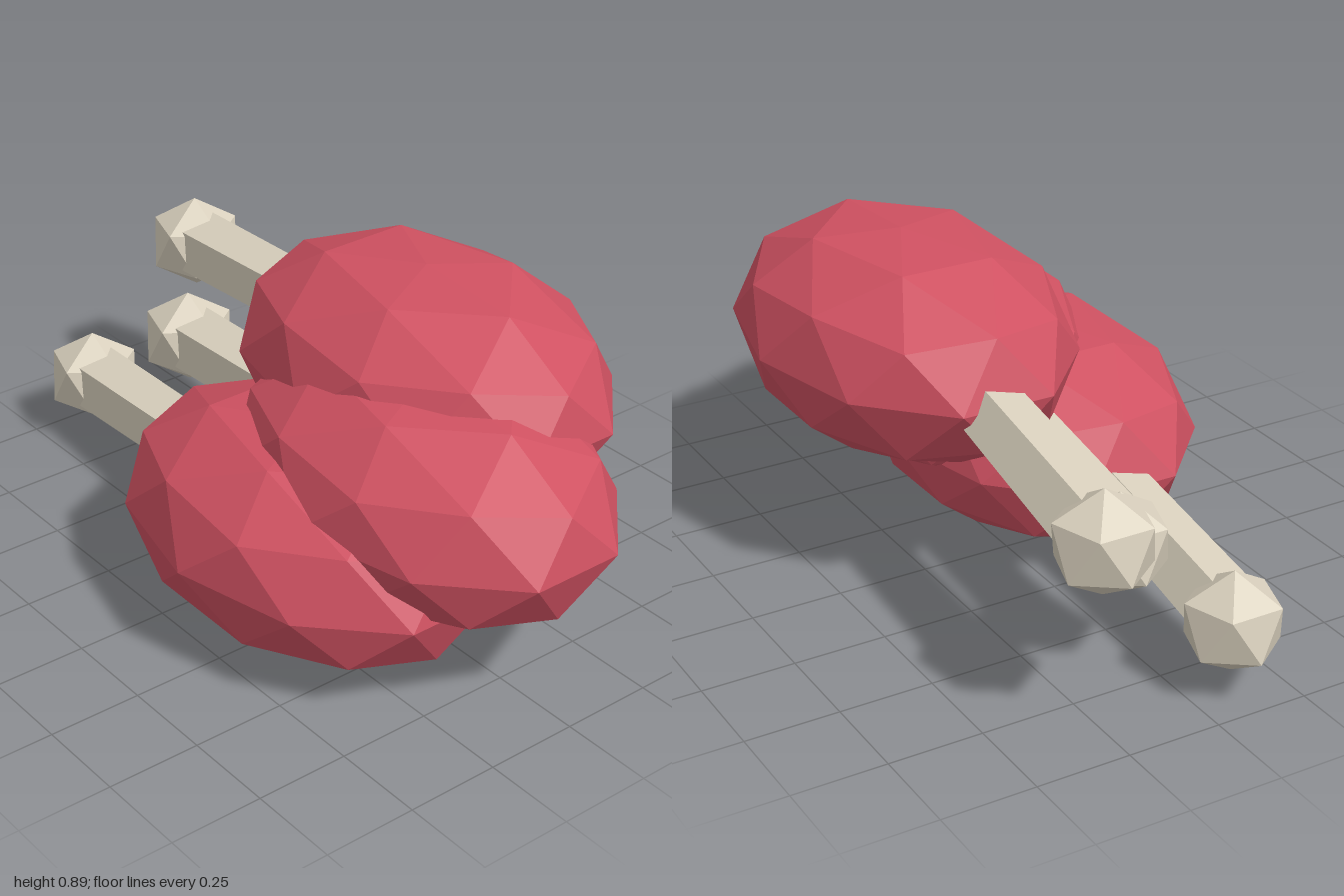
import * as THREE from 'three';

const meatMat = new THREE.MeshStandardMaterial({ color: 0xcf5161, flatShading: true });
meatMat.name = 'red meat';
const boneMat = new THREE.MeshStandardMaterial({ color: 0xdad1be, flatShading: true });
boneMat.name = 'pale bone';

// Icosahedron standing on a corner, with one upper corner towards +x
function poleIcosahedron(detail) {
  const verts = [0, 1, 0];
  const h = 1 / Math.sqrt(5), r = 2 * h;
  for (const [y, start] of [[h, 0], [-h, Math.PI / 5]]) {
    for (let i = 0; i < 5; i++) {
      const a = start + (i * Math.PI * 2) / 5;
      verts.push(r * Math.cos(a), y, r * Math.sin(a));
    }
  }
  verts.push(0, -1, 0);
  const faces = [];
  for (let i = 0; i < 5; i++) {
    const n = (i + 1) % 5;
    faces.push(0, 1 + n, 1 + i, 1 + i, 1 + n, 6 + i);
    faces.push(6 + i, 1 + n, 6 + n, 11, 6 + i, 6 + n);
  }
  return new THREE.PolyhedronGeometry(verts, faces, 1, detail);
}

// Meat: faceted ellipsoid with slightly flattened poles
function meatGeometry() {
  const g = poleIcosahedron(1);
  const p = g.attributes.position;
  for (let i = 0; i < p.count; i++) {
    if (Math.abs(p.getY(i)) > 0.99) p.setY(i, Math.sign(p.getY(i)) * 0.925);
  }
  g.scale(0.585, 0.306, 0.412);
  g.computeVertexNormals();
  return g;
}

// Five-sided bone running from the knob up into the meat
function boneGeometry() {
  const length = 0.8;
  const g = new THREE.CylinderGeometry(0.09, 0.1, length, 5, 1, false, THREE.MathUtils.degToRad(-40));
  g.translate(0, length / 2, 0);
  g.rotateZ(-Math.PI / 2);
  g.rotateZ(0.1);
  g.rotateY(-0.085);
  return g;
}

export function createModel() {
  const model = new THREE.Group();
  model.name = 'drumsticks';
  const meatGeo = meatGeometry();
  const boneGeo = boneGeometry();
  const knobGeo = poleIcosahedron(0).scale(0.137, 0.137, 0.137);
  const knobOffset = [-1.1, -0.093, -0.07];

  const add = (group, name, geometry, material, offset = [0, 0, 0]) => {
    const mesh = new THREE.Mesh(geometry, material);
    mesh.name = name;
    mesh.position.set(...offset);
    group.add(mesh);
  };

  // Three identical drumsticks stacked in a leaning pile
  const places = {
    lowerDrumstick: [0.22, 0.283, 0.185],
    middleDrumstick: [0.44, 0.443, 0],
    upperDrumstick: [0.22, 0.602, -0.187],
  };
  for (const [name, position] of Object.entries(places)) {
    const stick = new THREE.Group();
    stick.name = name;
    stick.position.set(...position);
    add(stick, 'meat', meatGeo, meatMat);
    add(stick, 'bone', boneGeo, boneMat, knobOffset);
    add(stick, 'boneKnob', knobGeo, boneMat, knobOffset);
    model.add(stick);
  }
  return model;
}
